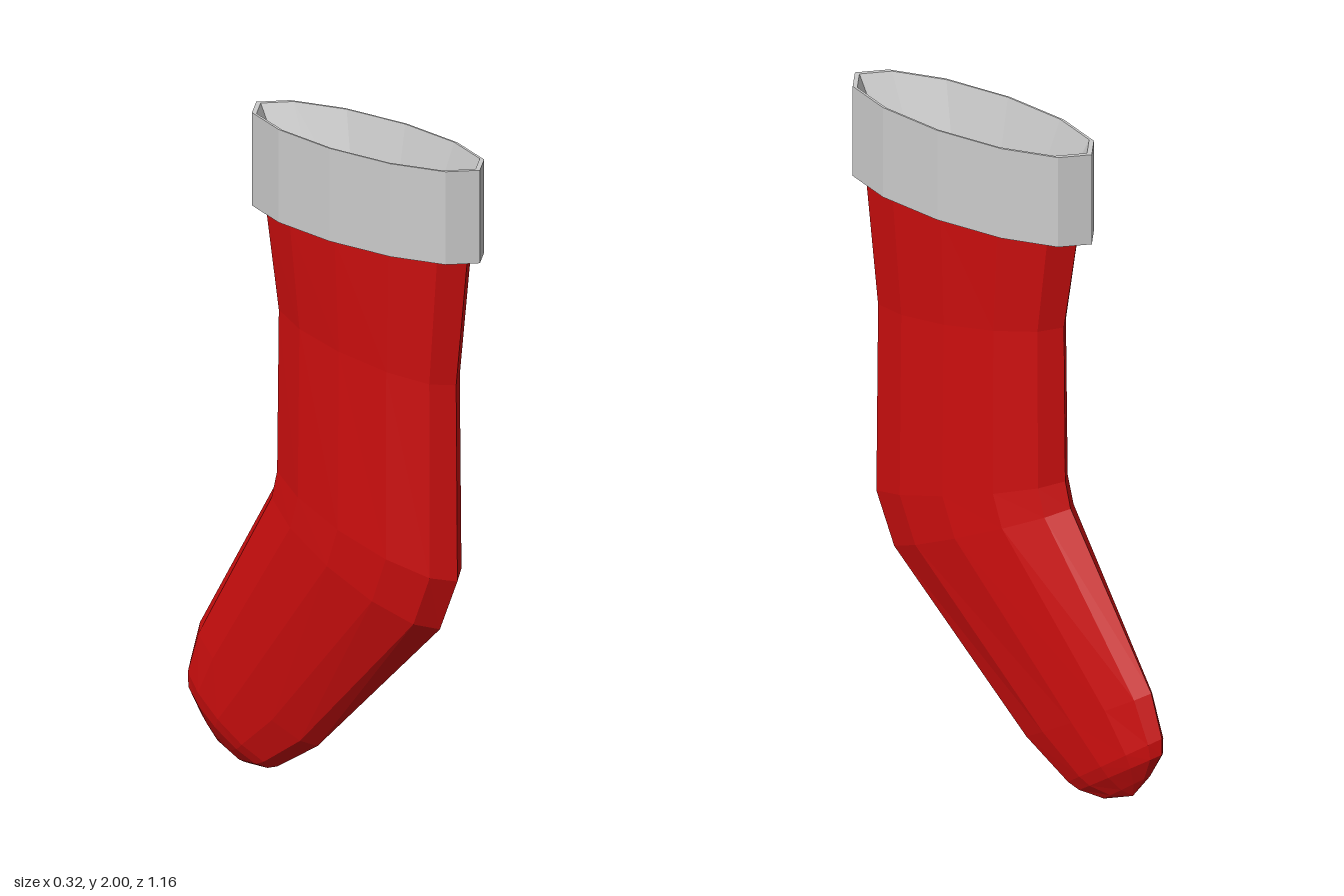
import * as THREE from 'three';

const SIDES = 12;

// Skin a stack of elliptical rings: [frontZ, frontY, backZ, backY, halfWidth]
function loft(rings) {
  const pos = [];
  const idx = [];
  for (const [fz, fy, bz, by, w] of rings) {
    for (let i = 0; i < SIDES; i++) {
      const a = (i / SIDES) * Math.PI * 2;
      const c = Math.cos(a);
      pos.push(
        w * Math.sin(a),
        (fy + by) / 2 + ((fy - by) / 2) * c,
        (fz + bz) / 2 + ((fz - bz) / 2) * c
      );
    }
  }
  for (let r = 0; r < rings.length - 1; r++) {
    for (let i = 0; i < SIDES; i++) {
      const j = (i + 1) % SIDES;
      const a = r * SIDES + i, b = r * SIDES + j;
      const c = a + SIDES, d = b + SIDES;
      // a ring of zero width is a point and needs one triangle per side
      if (rings[r + 1][4] > 0) idx.push(a, c, d);
      if (rings[r][4] > 0) idx.push(a, d, b);
    }
  }
  const geo = new THREE.BufferGeometry();
  geo.setAttribute('position', new THREE.Float32BufferAttribute(pos, 3));
  geo.setIndex(idx);
  const flat = geo.toNonIndexed();
  flat.computeVertexNormals();
  return flat;
}

function addPart(group, name, geometry, color) {
  const mesh = new THREE.Mesh(
    geometry,
    new THREE.MeshStandardMaterial({ color, flatShading: true })
  );
  mesh.name = name;
  group.add(mesh);
}

export function createModel() {
  const group = new THREE.Group();
  group.name = 'stocking';

  // Leg, heel and foot, from the cuff down to the rounded toe
  addPart(group, 'sock', loft([
    [0.53, 1.72, -0.26, 1.72, 0.14],
    [0.485, 1.33, -0.21, 1.43, 0.125],
    [0.49, 0.74, -0.215, 0.95, 0.13],
    [0.42, 0.58, -0.235, 0.87, 0.128],
    [-0.07, 0.115, -0.54, 0.38, 0.078],
    [-0.23, 0.017, -0.58, 0.25, 0.066],
    [-0.27, 0.003, -0.58, 0.2, 0.055],
    [-0.36, 0, -0.535, 0.12, 0.025],
    [-0.47, 0.04, -0.47, 0.04, 0],
  ]), 0xcc0e0e);

  // Cuff: inner floor, sloping inside wall, rim, outer wall and underside
  addPart(group, 'cuff', loft([
    [0.135, 1.72, 0.135, 1.72, 0],
    [0.42, 1.72, -0.15, 1.72, 0.102],
    [0.563, 2, -0.297, 2, 0.152],
    [0.58, 2, -0.315, 2, 0.158],
    [0.58, 1.72, -0.315, 1.72, 0.158],
    [0.53, 1.72, -0.26, 1.72, 0.14],
  ]), 0xcccccc);

  return group;
}
